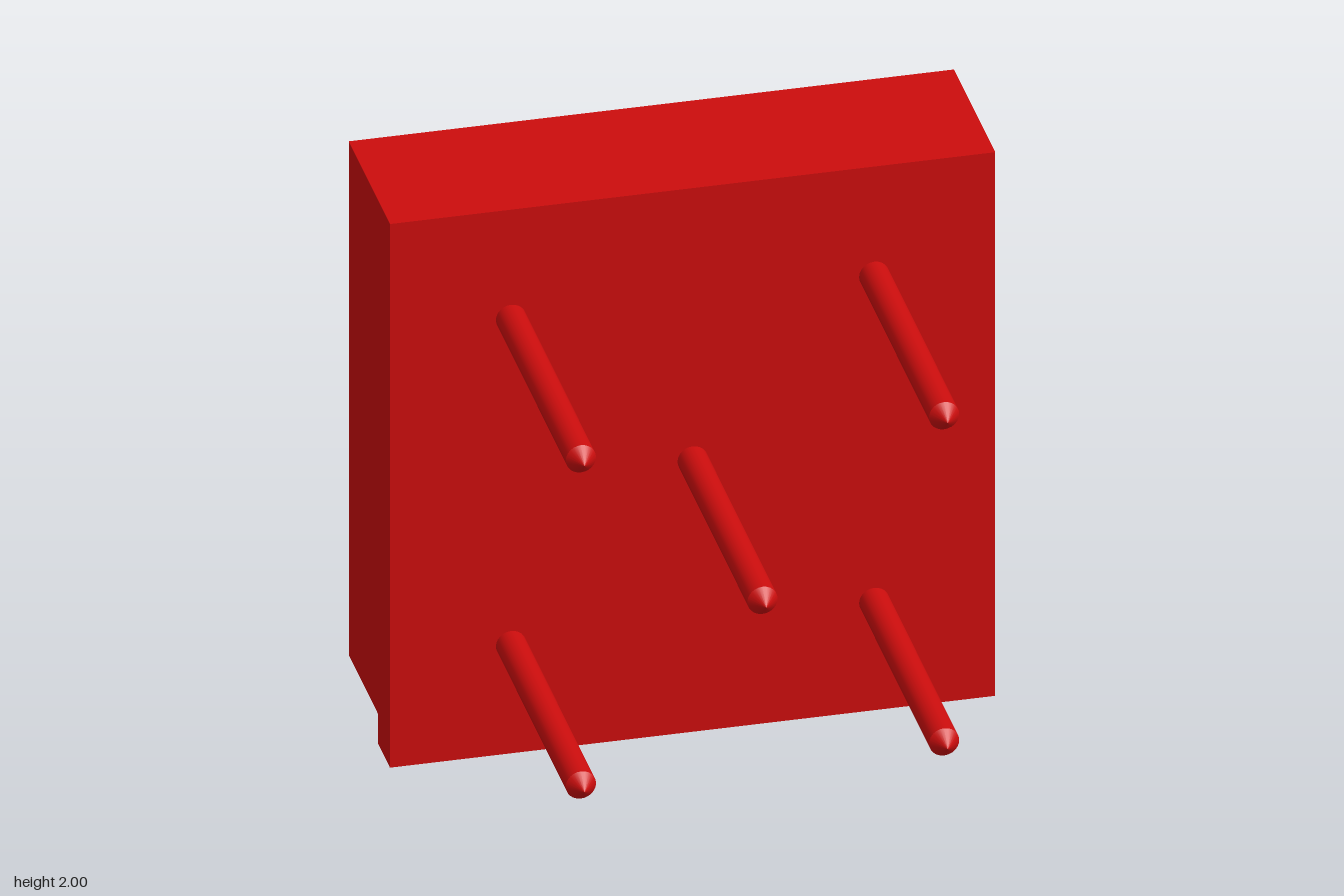
import * as THREE from 'three';

const red = new THREE.MeshStandardMaterial({ color: 0xcc0d0d });

const FRONT = -0.22, STEP = -0.38, BACK = -0.78; // z planes of the block
const BASE = 0.11, HOLE_TOP = 0.61;              // y levels of the rear block

function add(parent, name, geometry, x = 0, y = 0, z = 0) {
  const mesh = new THREE.Mesh(geometry, red);
  mesh.name = name;
  mesh.position.set(x, y, z);
  parent.add(mesh);
  return mesh;
}

// Box given by its y and z limits, full width in x
function slab(parent, name, y0, y1, z0, z1) {
  add(parent, name, new THREE.BoxGeometry(2, y1 - y0, z1 - z0), 0, (y0 + y1) / 2, (z0 + z1) / 2);
}

// Round hole, or a slot when half > 0
function slotPath(cx, cy, r, half) {
  const p = new THREE.Path();
  p.absarc(cx + half, cy, r, -Math.PI / 2, Math.PI / 2, false);
  p.absarc(cx - half, cy, r, Math.PI / 2, Math.PI * 1.5, false);
  p.closePath();
  return p;
}

function createPin(x, y) {
  const pin = new THREE.Group();
  pin.name = 'pin';
  const r = 0.05, tip = 0.05, length = 0.95;
  add(pin, 'pinShaft', new THREE.CylinderGeometry(r, r, length, 24, 1, true).rotateX(Math.PI / 2), 0, 0, length / 2);
  add(pin, 'pinTip', new THREE.ConeGeometry(r, tip, 24, 1, true).rotateX(Math.PI / 2), 0, 0, length + tip / 2);
  pin.position.set(x, y, FRONT);
  return pin;
}

export function createModel() {
  const model = new THREE.Group();
  model.name = 'pinBlock';

  // Front plate runs down to the ground as a lip; the rear block stops above it
  slab(model, 'frontPlate', 0, 2, STEP, FRONT);
  slab(model, 'rearBlock', HOLE_TOP, 2, BACK, STEP);

  // Lower rear block with mounting holes opening downward
  const outline = new THREE.Shape([
    new THREE.Vector2(-1, -STEP), new THREE.Vector2(1, -STEP),
    new THREE.Vector2(1, -BACK), new THREE.Vector2(-1, -BACK),
  ]);
  outline.holes.push(slotPath(0.5, 0.605, 0.08, 0), slotPath(-0.5, 0.605, 0.08, 0.1));
  const lower = new THREE.ExtrudeGeometry(outline, { depth: HOLE_TOP - BASE, bevelEnabled: false, curveSegments: 16 });
  add(model, 'drilledBase', lower.rotateX(-Math.PI / 2), 0, BASE, 0);

  // Four corner pins and one in the centre
  for (const [x, y] of [[-0.6, 0.4], [0.6, 0.4], [0, 1], [-0.6, 1.6], [0.6, 1.6]]) {
    model.add(createPin(x, y));
  }
  return model;
}
